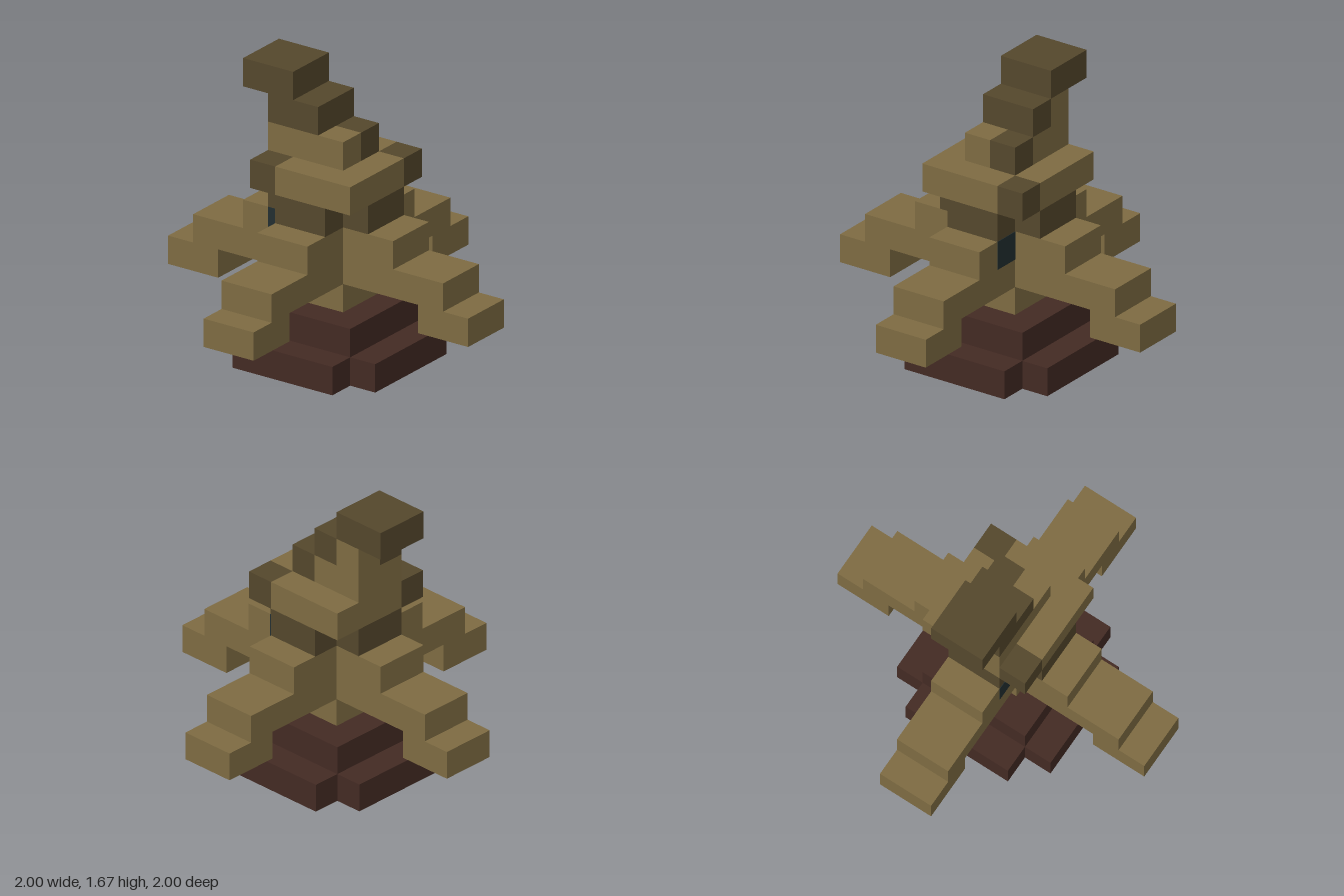
import * as THREE from 'three';

const U = 1 / 6; // edge of one cube of the grid

export function createModel() {
  const model = new THREE.Group();
  model.name = 'crookedBlockTree';

  const material = (name, color) => {
    const m = new THREE.MeshStandardMaterial({ color });
    m.name = name;
    return m;
  };
  const tan = material('tan', 0x7e6b42);
  const olive = material('darkOlive', 0x54472c);
  const brown = material('darkBrown', 0x432a23);
  const teal = material('darkTeal', 0x222e30);

  // Block spanning grid coordinates [x0, x1], [y0, y1], [z0, z1]
  const block = (parent, name, mat, [x0, x1], [y0, y1], [z0, z1]) => {
    const geo = new THREE.BoxGeometry((x1 - x0) * U, (y1 - y0) * U, (z1 - z0) * U);
    const mesh = new THREE.Mesh(geo, mat);
    mesh.position.set((x0 + x1) * U / 2, (y0 + y1) * U / 2, (z0 + z1) * U / 2);
    mesh.name = name;
    parent.add(mesh);
  };

  // Base: notched-corner slab around the trunk, then a square step
  const outline = [[3, 2], [2, 2], [2, 3], [-2, 3], [-2, 2], [-3, 2],
    [-3, -2], [-2, -2], [-2, -3], [2, -3], [2, -2], [3, -2]];
  const toPoints = (list) => list.map(([x, y]) => new THREE.Vector2(x * U, y * U));
  const slab = new THREE.Shape(toPoints(outline));
  slab.holes.push(new THREE.Path(toPoints([[-1, -1], [1, -1], [1, 1], [-1, 1]])));
  const slabGeo = new THREE.ExtrudeGeometry(slab, { depth: U, bevelEnabled: false });
  slabGeo.rotateX(-Math.PI / 2);
  const base = new THREE.Mesh(slabGeo, brown);
  base.name = 'baseSlab';
  model.add(base);
  block(model, 'baseStep', brown, [-2, 2], [1, 2], [-2, 2]);

  // Trunk
  block(model, 'trunk', tan, [-1, 1], [0, 5], [-1, 1]);

  // Four stepped arms
  for (let i = 0; i < 4; i++) {
    const arm = new THREE.Group();
    arm.name = 'arm' + (i + 1);
    block(arm, 'armShoulder', tan, [1, 3], [4, 5], [-1, 1]);
    block(arm, 'armSpan', tan, [1, 5], [3, 4], [-1, 1]);
    block(arm, 'armTip', tan, [4, 6], [2, 3], [-1, 1]);
    arm.rotation.y = i * Math.PI / 2;
    model.add(arm);
  }

  // Cross-shaped neck
  block(model, 'neckMiddle', olive, [-2, 2], [5, 6], [-1, 1]);

  // Parts repeated by a half turn: neck ends, crown edges and corners, teal patches
  for (const s of [1, -1]) {
    const half = new THREE.Group();
    half.name = s > 0 ? 'frontHalf' : 'backHalf';
    block(half, 'neckEnd', olive, [-1, 1], [5, 6], [1, 2]);
    block(half, 'crownEdge', tan, [1, 2], [6, 7], [-1, 2]);
    block(half, 'crownCorner', olive, [-2, -1], [6, 7], [1, 2]);
    block(half, 'tealPatch', teal, [-2, -1], [4, 5], [0.99, 1.02]);
    if (s < 0) half.rotation.y = Math.PI;
    model.add(half);
  }
  block(model, 'crownMiddle', tan, [-1, 1], [6, 7], [-2, 2]);

  // Leaning top, stepping towards the right
  block(model, 'lowerTop', tan, [-2, 0], [7, 8], [-1, 1]);
  block(model, 'lowerTopFront', tan, [0, 1], [7, 8], [0, 1]);
  block(model, 'lowerTopBack', olive, [0, 1], [7, 8], [-1, 0]);
  block(model, 'upperTop', olive, [-1, 0], [8, 9], [-1, 1]);
  block(model, 'upperTopFront', olive, [-2, -1], [8, 9], [0, 1]);
  block(model, 'upperTopBack', tan, [-2, -1], [8, 9], [-1, 0]);
  block(model, 'hookTip', olive, [-3, -1], [9, 10], [-1, 1]);

  return model;
}
